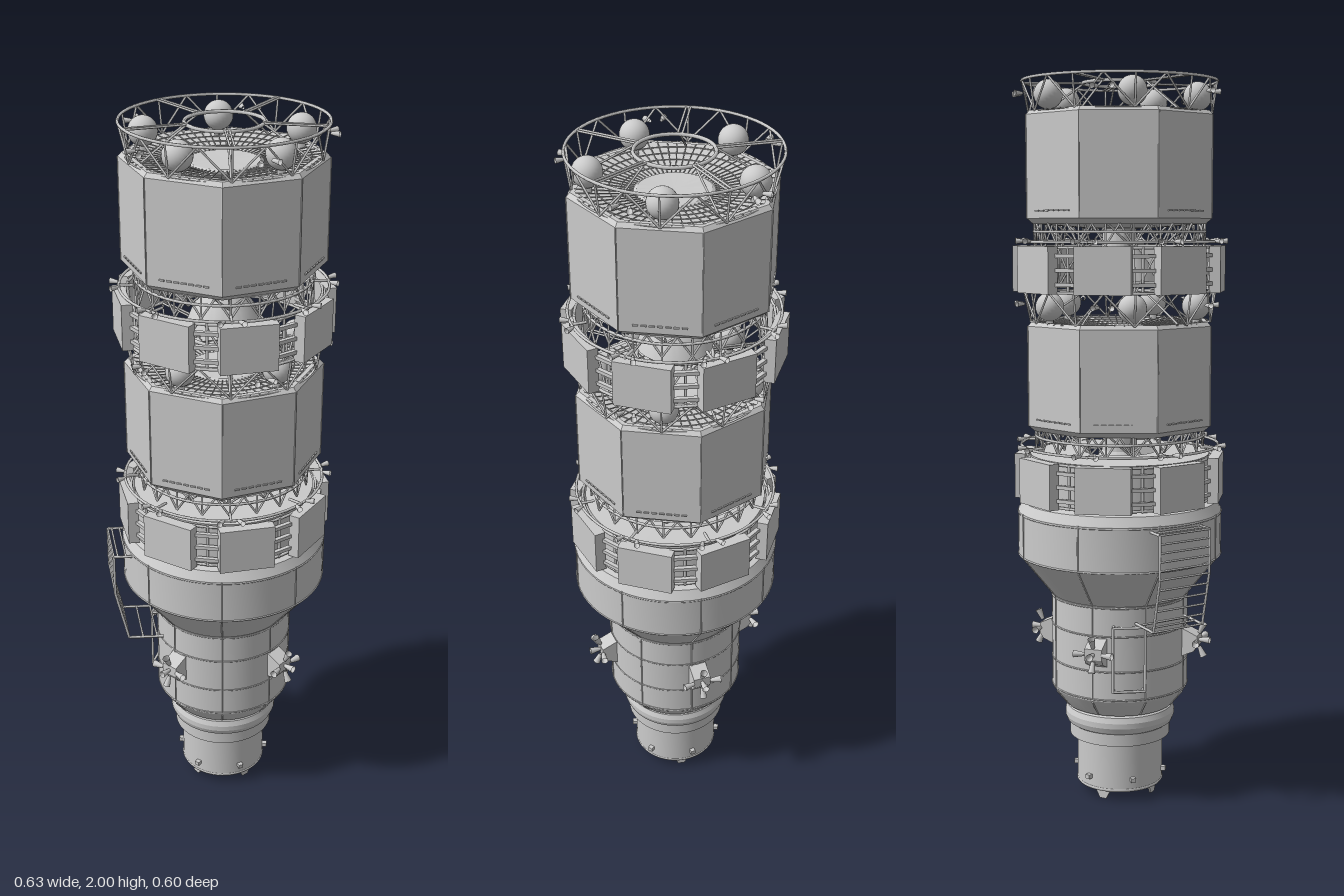
import * as THREE from 'three';
import { toCreasedNormals } from 'three/addons/utils/BufferGeometryUtils.js';

const RAD = Math.PI / 180;
const grey = new THREE.MeshStandardMaterial({ color: 0xcccccc });
const flat = new THREE.MeshStandardMaterial({ color: 0xcccccc, flatShading: true });
const thin = new THREE.MeshStandardMaterial({ color: 0xcccccc, side: THREE.DoubleSide });

// point at azimuth a (degrees from +z towards +x)
const polar = (r, a, y) => new THREE.Vector3(r * Math.sin(a * RAD), y, r * Math.cos(a * RAD));

function add(parent, name, geo, mat = grey) {
  const m = new THREE.Mesh(geo, mat);
  m.name = name;
  parent.add(m);
  return m;
}
function group(parent, name) {
  const g = new THREE.Group();
  g.name = name;
  parent.add(g);
  return g;
}
function strut(parent, name, a, b, r = 0.003) {
  const m = add(parent, name, new THREE.CylinderGeometry(r, r, a.distanceTo(b), 6));
  m.position.copy(a).lerp(b, 0.5);
  m.quaternion.setFromUnitVectors(new THREE.Vector3(0, 1, 0), b.clone().sub(a).normalize());
  return m;
}
function ring(parent, name, r, y, tube = 0.004) {
  const m = add(parent, name, new THREE.TorusGeometry(r, tube, 6, 64));
  m.rotation.x = Math.PI / 2;
  m.position.y = y;
  return m;
}
function boxAt(parent, name, w, h, d, r, a, y) {
  const m = add(parent, name, new THREE.BoxGeometry(w, h, d));
  m.position.copy(polar(r, a, y));
  m.rotation.y = a * RAD;
  return m;
}
function lathe(parent, name, pts, mat = grey) {
  const g = new THREE.LatheGeometry(pts.map(p => new THREE.Vector2(p[0], p[1])), 64);
  return add(parent, name, toCreasedNormals(g, 0.35), mat);
}
// small flared nozzle pointing outward, swung sideways and tipped
function nozzle(parent, r, a, y, swing = 0, tip = 0, size = 1) {
  const g = group(parent, 'thruster');
  g.position.copy(polar(r, a, y));
  g.rotation.set(tip * RAD, (a + swing) * RAD, 0, 'YXZ');
  const m = add(g, 'thrusterNozzle', new THREE.CylinderGeometry(0.008 * size, 0.004 * size, 0.024 * size, 10, 1, true), thin);
  m.rotation.x = Math.PI / 2;
  m.position.z = 0.012 * size;
}
// zigzag lattice between two radii and heights
function truss(parent, name, r0, y0, r1, y1, n, rad = 0.003) {
  const g = group(parent, name);
  for (let i = 0; i < n; i++) {
    const a = (360 / n) * i, h = 180 / n;
    strut(g, 'post', polar(r0, a, y0), polar(r1, a, y1), rad);
    strut(g, 'brace', polar(r0, a, y0), polar(r1, a + h, y1), rad);
    strut(g, 'brace', polar(r1, a + h, y1), polar(r0, a + 2 * h, y0), rad);
  }
  return g;
}

function hull(parent) {
  lathe(parent, 'dockingCollar', [[0.085, 0.06], [0.1, 0.03], [0.122, 0.03], [0.122, 0.17], [0.143, 0.17],
    [0.143, 0.205], [0.15, 0.21], [0.156, 0.225], [0.156, 0.24], [0.15, 0.255], [0.138, 0.262], [0.155, 0.265]]);
  lathe(parent, 'dockingHatch', [[0, 0.055], [0.06, 0.055], [0.085, 0.06]], thin);
  lathe(parent, 'mainHull', [[0.152, 0.262], [0.19, 0.31], [0.193, 0.315], [0.193, 0.585], [0.286, 0.7], [0.286, 0.825],
    [0.272, 0.85], [0.2, 0.862], [0, 0.862]]);
  ring(parent, 'dockingLip', 0.118, 0.033, 0.006);
  // guide petals on the docking face
  for (let i = 0; i < 4; i++) {
    const s = new THREE.Shape([[-0.028, 0.035], [-0.01, 0], [0.01, 0], [0.028, 0.035]].map(p => new THREE.Vector2(...p)));
    const m = add(parent, 'dockingPetal', new THREE.ExtrudeGeometry(s, { depth: 0.006, bevelEnabled: false }));
    m.position.copy(polar(0.1, 45 * (2 * i + 0.8), 0));
    m.rotation.y = 45 * (2 * i + 0.8) * RAD;
  }
  for (let i = 0; i < 6; i++) boxAt(parent, 'collarLatch', 0.014, 0.012, 0.02, 0.125, 60 * i + 20, 0.065);
  // seams and hoops
  for (const y of [0.32, 0.4, 0.5, 0.58]) ring(parent, 'hullHoop', 0.1925, y, 0.0025);
  for (const y of [0.7, 0.82]) ring(parent, 'wideHoop', 0.285, y, 0.003);
  for (let i = 0; i < 8; i++) {
    const a = 45 * i - 5;
    strut(parent, 'hullSeam', polar(0.193, a, 0.32), polar(0.193, a, 0.585), 0.0025);
    strut(parent, 'coneSeam', polar(0.193, a, 0.585), polar(0.286, a, 0.7), 0.0025);
    strut(parent, 'wideSeam', polar(0.286, a, 0.7), polar(0.286, a, 0.825), 0.0025);
    strut(parent, 'lowerSeam', polar(0.154, a, 0.265), polar(0.191, a, 0.31), 0.0025);
  }
  // four thruster pods
  for (let i = 0; i < 4; i++) {
    const a = 45 + 90 * i, pod = group(parent, 'thrusterPod');
    const s = new THREE.Shape([[0.18, 0.41], [0.225, 0.43], [0.235, 0.445], [0.235, 0.475], [0.18, 0.5]].map(p => new THREE.Vector2(...p)));
    const m = add(pod, 'podHousing', new THREE.ExtrudeGeometry(s, { depth: 0.05, bevelEnabled: false }).translate(0, 0, -0.025));
    m.rotation.y = (a - 90) * RAD;
    for (const [sw, tip] of [[75, 0], [-75, 0], [0, 65], [0, -65], [0, 0]])
      nozzle(pod, 0.235, a + sw * 0.08, 0.46 - tip * 0.0003, sw, tip, 1.3);
  }
}

// ladder frame on the right flank and a grab rail beside it
function ladder(parent) {
  const g = group(parent, 'ladder');
  const path = [[-0.27, 0.81], [-0.325, 0.81], [-0.325, 0.69], [-0.29, 0.54], [-0.19, 0.54]];
  const at = (p, z) => new THREE.Vector3(p[0] + (z > 0 ? 0.012 : -0.005), p[1], z);
  for (const z of [-0.05, 0.11])
    for (let i = 0; i < 4; i++) strut(g, 'ladderRail', at(path[i], z), at(path[i + 1], z), 0.004);
  for (let i = 0; i < 4; i++)
    for (let k = 0; k < 5; k++) {
      if (i === 0 && k % 2 || i === 3 && k % 2) continue;
      const p = [0, 1].map(j => path[i][j] + (path[i + 1][j] - path[i][j]) * k / 5);
      strut(g, 'ladderRung', at(p, -0.05), at(p, 0.11), 0.003);
    }
  const c = [[238, 0.35], [238, 0.53], [262, 0.53], [262, 0.35]].map(p => polar(0.212, p[0], p[1]));
  c.forEach((p, i) => {
    strut(g, 'grabRail', p, c[(i + 1) % 4], 0.004);
    strut(g, 'railFoot', p, new THREE.Vector3(p.x * 0.9, p.y, p.z * 0.9), 0.004);
  });
}

// eight box panels on a hoop frame
function panelRing(parent, y, h, solid) {
  const g = group(parent, 'equipmentRing');
  if (solid) lathe(g, 'ringCore', [[0.25, y - h / 2], [0.25, y + h / 2], [0.1, y + h / 2 + 0.005]]);
  for (const e of [-1, 1]) ring(g, 'ringHoop', 0.258, y + e * (h / 2 - 0.004));
  for (let i = 0; i < 8; i++) {
    const a = 9 + 45 * i;
    boxAt(g, 'equipmentPanel', 0.15, h, 0.03, 0.27, a, y);
    for (const k of [-1, 0, 1]) boxAt(g, 'panelBridge', 0.075, 0.01, 0.012, 0.266, a + 22.5, y + k * h * 0.3);
    strut(g, 'ringPost', polar(0.258, a + 22.5, y - h / 2), polar(0.258, a + 22.5, y + h / 2), 0.004);
  }
}

// octagonal tank with its lower truss, engine bell, top deck and spheres
function tankStage(parent, y) {
  const g = group(parent, 'tankStage');
  g.position.y = y;
  const prof = [[0.1, 0.005], [0.25, 0.005], [0.268, 0.02], [0.268, 0.292], [0.258, 0.303], [0.245, 0.303]];
  add(g, 'tank', new THREE.LatheGeometry(prof.map(p => new THREE.Vector2(...p)), 8, -5 * RAD), flat);
  lathe(g, 'topDeck', [[0.25, 0.3], [0.18, 0.29], [0.1, 0.28], [0.092, 0.285], [0, 0.285]].reverse(), thin)
    .material = thin;
  lathe(g, 'tankUnderside', [[0, -0.01], [0.1, -0.005], [0.24, 0.006]], thin);
  lathe(g, 'engineBell', [[0.1, -0.15], [0.08, -0.1], [0.05, -0.06], [0.045, 0]], thin);
  for (let i = 0; i < 60; i++) strut(g, 'deckRib', polar(0.1, 6 * i, 0.283), polar(0.245, 6 * i, 0.303), 0.0015);
  for (const r of [0.13, 0.16, 0.19, 0.22]) ring(g, 'deckHoop', r, 0.281 + (r - 0.1) * 0.14, 0.0015);
  for (let i = 0; i < 8; i++) {
    const a = 45 * i - 5;
    strut(g, 'cornerSeam', polar(0.268, a, 0.02), polar(0.268, a, 0.292), 0.002);
    for (const s of [0.12, 0.88]) boxAt(g, 'tankBracket', 0.006, 0.04, 0.006, 0.25 + 0.01 * Math.abs(s - 0.5), a + 45 * s, 0.05);
    for (let k = -3; k <= 3; k++) {
      const m = boxAt(g, 'tankRail', 0.014, 0.004, 0.006, 0.248, a + 22.5, 0.04);
      m.translateX(k * 0.02);
    }
  }
  // lower truss, thruster ring
  truss(g, 'lowerTruss', 0.235, -0.05, 0.235, 0.006, 20);
  truss(g, 'innerTruss', 0.17, -0.05, 0.2, 0.006, 10);
  ring(g, 'trussHoop', 0.235, -0.015, 0.004);
  ring(g, 'thrusterHoop', 0.275, -0.042, 0.004);
  for (let i = 0; i < 8; i++) {
    strut(g, 'hoopArm', polar(0.235, 45 * i, -0.042), polar(0.28, 45 * i, -0.042), 0.004);
    for (const s of [-1, 1]) nozzle(g, 0.276, 45 * i + s * 4, -0.04, s * 25);
  }
  // top truss, radial beams and spheres
  const top = 0.386;
  truss(g, 'topTruss', 0.252, 0.3, 0.265, top, 10);
  ring(g, 'topHoop', 0.265, top, 0.004);
  ring(g, 'topInnerHoop', 0.1, top - 0.005, 0.005);
  for (let i = 0; i < 5; i++) {
    const a = 72 * i;
    for (const s of [-1.5, 1.5]) strut(g, 'radialBeam', polar(0.1, a + s * 2.2, top - 0.003), polar(0.265, a + s * 0.8, top), 0.003);
    strut(g, 'beamStay', polar(0.1, a, top - 0.005), polar(0.22, a, 0.3), 0.003);
    const ball = add(g, 'pressureSphere', new THREE.SphereGeometry(0.039, 24, 16));
    ball.position.copy(polar(0.212, a + 36, 0.344));
    strut(g, 'sphereMount', polar(0.212, a + 36, 0.29), polar(0.212, a + 36, 0.32), 0.012);
    for (const s of [-1, 1]) nozzle(g, 0.266, a + 18 + s * 3, 0.35, s * 25);
  }
}

export function createModel() {
  const root = new THREE.Group();
  root.name = 'spaceStation';
  const body = group(root, 'stationBody');
  body.position.x = 0.015;
  hull(body);
  ladder(body);
  panelRing(body, 0.92, 0.125, true);
  tankStage(body, 1.05);
  panelRing(body, 1.495, 0.125, false);
  truss(body, 'upperRingTruss', 0.25, 1.435, 0.235, 1.56, 10);
  tankStage(body, 1.61);
  return root;
}
